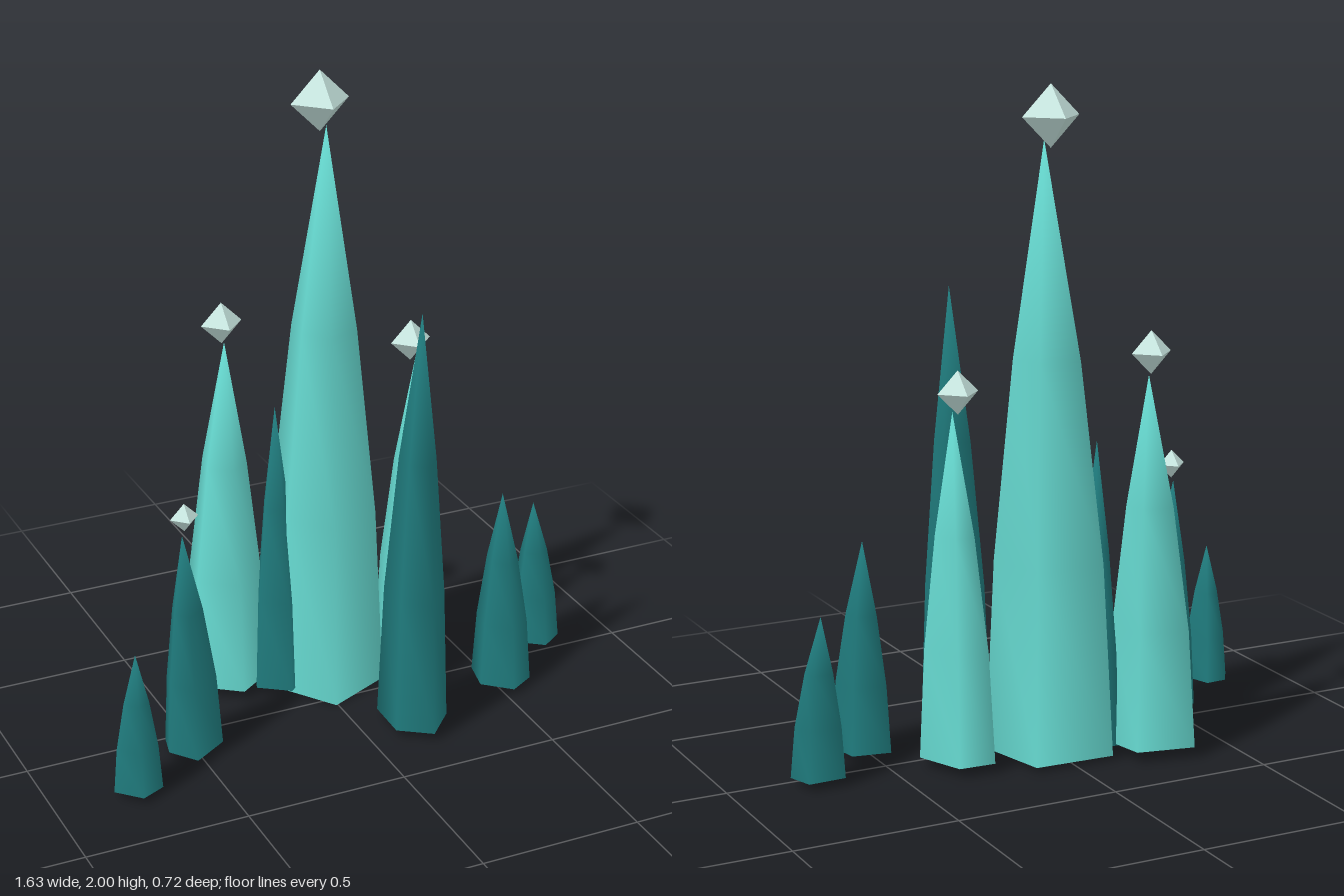
import * as THREE from 'three';

// name, material, base height, base outline [x, z], apex [x, y, z]
const CRYSTALS = [
  ['mainCrystal', 'teal', 0.015, [[-0.12, -0.265], [0.13, -0.257], [0.186, -0.03], [-0.006, 0.04], [-0.13, -0.1]], [0.02, 1.84, -0.088]],
  ['leftBackCrystal', 'teal', 0.035, [[-0.345, -0.36], [-0.17, -0.325], [-0.14, -0.18], [-0.255, -0.1], [-0.383, -0.195]], [-0.245, 1.155, -0.24]],
  ['rightBackCrystal', 'teal', 0.03, [[0.24, -0.205], [0.353, -0.2], [0.414, -0.055], [0.318, 0.063], [0.186, -0.03]], [0.315, 1.07, -0.085]],
  ['frontDarkCrystal', 'dark', 0.025, [[0.08, 0.15], [0.25, 0.155], [0.26, 0.265], [0.173, 0.357], [0.077, 0.29]], [0.153, 1.37, 0.275]],
  ['innerDarkCrystal', 'dark', 0.03, [[-0.16, -0.23], [-0.085, -0.215], [-0.06, -0.1], [-0.115, -0.05], [-0.207, -0.115]], [-0.12, 0.955, -0.155]],
  ['rightDarkCrystal', 'dark', 0.022, [[0.463, 0.042], [0.58, 0.063], [0.6, 0.173], [0.52, 0.22], [0.44, 0.147]], [0.512, 0.66, 0.125]],
  ['farRightDarkCrystal', 'dark', 0.025, [[0.672, -0.103], [0.787, -0.107], [0.814, -0.03], [0.743, 0.02], [0.664, -0.04]], [0.722, 0.505, -0.055]],
  ['leftDarkCrystal', 'dark', 0.02, [[-0.572, 0.033], [-0.47, 0.024], [-0.42, 0.12], [-0.529, 0.19], [-0.59, 0.11]], [-0.53, 0.73, 0.105]],
  ['farLeftDarkCrystal', 'dark', 0.022, [[-0.778, 0.186], [-0.71, 0.182], [-0.678, 0.283], [-0.752, 0.318], [-0.818, 0.25]], [-0.74, 0.46, 0.25]],
];

// name, centre, radius
const GEMS = [
  ['mainGem', [0.01, 1.908, -0.11], 0.092],
  ['leftBackGem', [-0.255, 1.22, -0.235], 0.065],
  ['rightBackGem', [0.297, 1.125, -0.085], 0.065],
  ['leftGem', [-0.52, 0.785, 0.1], 0.044],
];

// Cross-sections up the spire: [height fraction, width fraction]
const RINGS = [[0, 1], [0.32, 0.85], [0.65, 0.52]];

function spireGeometry(baseY, outline, [ax, ay, az]) {
  const n = outline.length;
  const positions = [];
  const index = [];
  for (const [h, w] of RINGS) {
    for (const [x, z] of outline) {
      positions.push(ax + (x - ax) * w, baseY + (ay - baseY) * h, az + (z - az) * w);
    }
  }
  const apex = RINGS.length * n;
  positions.push(ax, ay, az);

  // Sides, smooth around the spire
  for (let r = 0; r < RINGS.length; r++) {
    for (let i = 0; i < n; i++) {
      const a = r * n + i;
      const b = r * n + (i + 1) % n;
      if (r === RINGS.length - 1) index.push(a, apex, b);
      else index.push(a, a + n, b + n, a, b + n, b);
    }
  }

  // Underside with its own corners, so its rim stays sharp
  const cap = apex + 1;
  for (const [x, z] of outline) positions.push(x, baseY, z);
  for (let i = 1; i < n - 1; i++) index.push(cap, cap + i, cap + i + 1);

  // Main spire sinks slightly at its front corner
  if (ay > 1.5) {
    positions[3 * 3 + 1] = 0;
    positions[(cap + 3) * 3 + 1] = 0;
  }

  const geometry = new THREE.BufferGeometry();
  geometry.setAttribute('position', new THREE.Float32BufferAttribute(positions, 3));
  geometry.setIndex(index);
  geometry.computeVertexNormals();
  return geometry;
}

export function createModel() {
  const group = new THREE.Group();
  group.name = 'crystalCluster';
  const material = (name, color) => {
    const m = new THREE.MeshStandardMaterial({ color });
    m.name = name;
    return m;
  };
  const materials = {
    teal: material('brightTeal', 0x66d9d0),
    dark: material('darkTeal', 0x1f7a7c),
    gem: material('paleGem', 0xc8e6e0),
  };

  // Spires
  for (const [name, mat, baseY, outline, apex] of CRYSTALS) {
    const mesh = new THREE.Mesh(spireGeometry(baseY, outline, apex), materials[mat]);
    mesh.name = name;
    group.add(mesh);
  }

  // Floating gems above the tips
  for (const [name, centre, radius] of GEMS) {
    const mesh = new THREE.Mesh(new THREE.OctahedronGeometry(radius), materials.gem);
    mesh.name = name;
    mesh.position.set(...centre);
    group.add(mesh);
  }
  return group;
}
